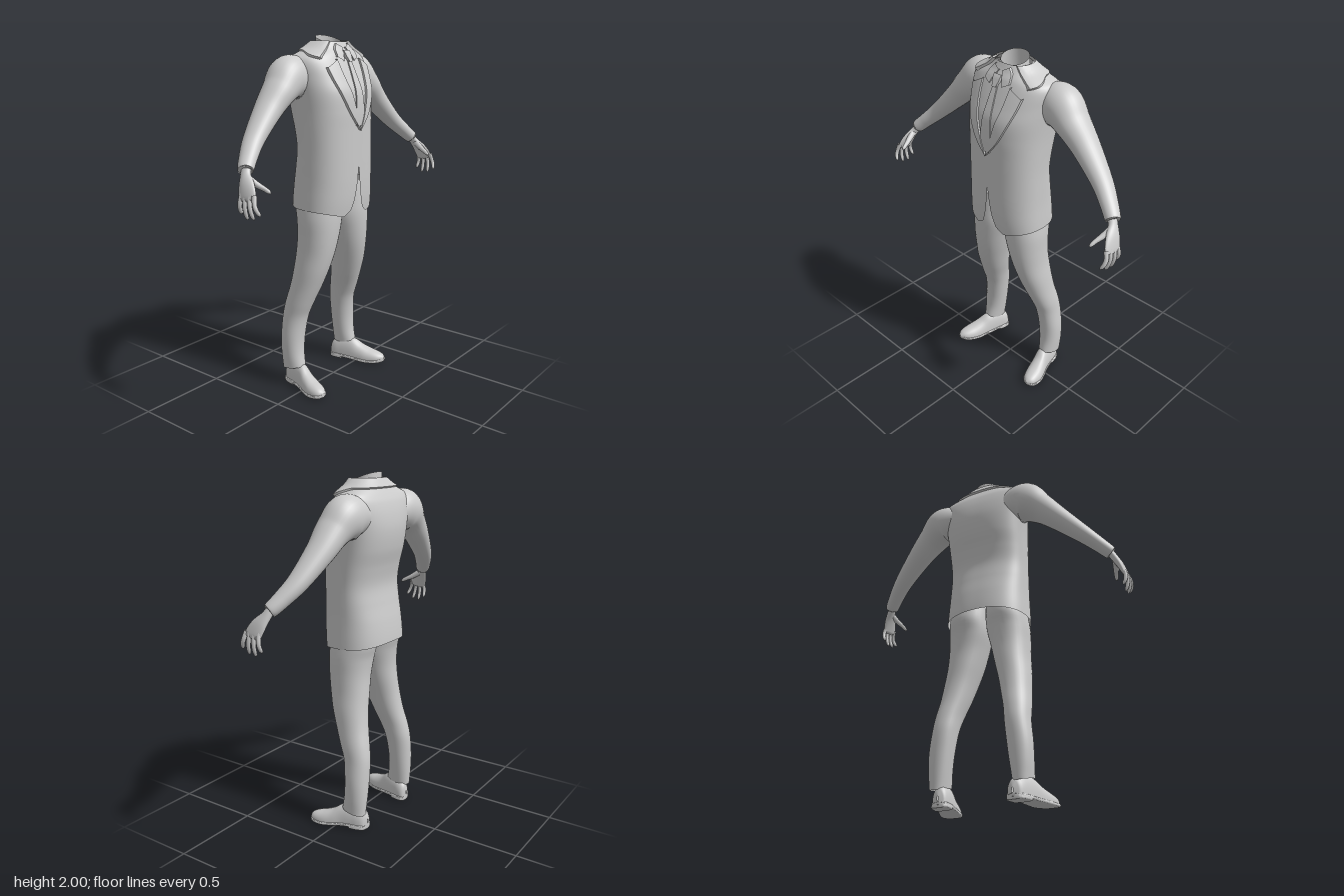
import * as THREE from 'three';
import { mergeVertices, toCreasedNormals } from 'three/addons/utils/BufferGeometryUtils.js';

const material = new THREE.MeshStandardMaterial({ color: 0xcccccc, side: THREE.DoubleSide });
const TAU = Math.PI * 2;
const spow = (v, e) => Math.sign(v) * Math.abs(v) ** e;

// Smooth (Hermite) lookup in a table of rows whose first entry is the key
function sample(rows, k) {
  let i = 0;
  while (i < rows.length - 2 && k > rows[i + 1][0]) i++;
  const a = rows[i], b = rows[i + 1], p = rows[i - 1] || a, n = rows[i + 2] || b;
  const h = b[0] - a[0], t = THREE.MathUtils.clamp((k - a[0]) / h, 0, 1);
  const t2 = t * t, t3 = t2 * t;
  return a.map((va, j) => {
    const ma = (b[j] - p[j]) / (b[0] - p[0]) * h, mb = (n[j] - va) / (n[0] - a[0]) * h;
    return va * (2 * t3 - 3 * t2 + 1) + ma * (t3 - 2 * t2 + t) + b[j] * (3 * t2 - 2 * t3) + mb * (t3 - t2);
  });
}

// Surface from a rule fn(u, v) -> [x, y, z]
function surface(name, nu, nv, fn, crease = 0) {
  const pos = [], idx = [];
  for (let j = 0; j <= nv; j++) for (let i = 0; i <= nu; i++) pos.push(...fn(i / nu, j / nv));
  for (let j = 0; j < nv; j++) for (let i = 0; i < nu; i++) {
    const a = j * (nu + 1) + i, b = a + 1, c = a + nu + 1, d = c + 1;
    idx.push(a, c, b, b, c, d);
  }
  let g = new THREE.BufferGeometry();
  g.setAttribute('position', new THREE.Float32BufferAttribute(pos, 3));
  g.setIndex(idx);
  g = mergeVertices(g, 1e-5);
  g.computeVertexNormals();
  if (crease) g = toCreasedNormals(g, crease);
  const mesh = new THREE.Mesh(g, material);
  mesh.name = name;
  return mesh;
}

// Tube with elliptical rings along points [x, y, z, radius, radius towards z]
function limb(name, points, { sides = 24, steps = 40, round = 0 } = {}) {
  const rows = points.map((p, i) => [i, ...p]), last = points.length - 1;
  return surface(name, sides, steps, (u, v) => {
    const k = v * last, [, x, y, z, ra, rb] = sample(rows, k);
    const p0 = sample(rows, Math.max(0, k - 0.05)), p1 = sample(rows, Math.min(last, k + 0.05));
    const T = new THREE.Vector3(p1[1] - p0[1], p1[2] - p0[2], p1[3] - p0[3]).normalize();
    const B = new THREE.Vector3(0, 0, 1).addScaledVector(T, -T.z).normalize();
    const A = new THREE.Vector3().crossVectors(B, T);
    const q = round ? Math.max(0, (v - 1 + round) / round) : 0, s = Math.sqrt(Math.max(0, 1 - q * q));
    const P = new THREE.Vector3(x, y, z);
    P.addScaledVector(A, Math.cos(u * TAU) * ra * s).addScaledVector(B, -Math.sin(u * TAU) * rb * s);
    return P.toArray();
  });
}

// Jacket sections: y, half width, front z, back z, z of the side seam
const JACKET = [
  [1.0, .245, .16, -.197, -.01], [1.1, .241, .172, -.194, -.01], [1.2, .236, .177, -.182, -.01],
  [1.3, .234, .178, -.163, -.01], [1.4, .233, .178, -.15, -.01], [1.5, .236, .178, -.164, -.02],
  [1.6, .241, .178, -.189, -.035], [1.7, .25, .168, -.2, -.05], [1.78, .26, .138, -.193, -.07],
  [1.85, .265, .107, -.174, -.08], [1.885, .25, .09, -.155, -.08], [1.905, .21, .08, -.142, -.07],
  [1.93, .155, .063, -.124, -.055], [1.965, .103, .045, -.1, -.03],
];
const TOP = 1.965, BOXY = 0.8;
function jacketPoint(angle, y, off = 0) {
  const [, hw, zf, zb, zs] = sample(JACKET, y), s = spow(Math.sin(angle), BOXY);
  return [(hw + off) * spow(Math.cos(angle), BOXY), y + off * .4, zs + (s > 0 ? zf + off - zs : zs - zb + off) * s];
}
function chestZ(x, y, off) {
  const [, hw, zf, , zs] = sample(JACKET, y);
  const c = Math.min(1, Math.abs(x) / (hw + off)) ** (1 / BOXY);
  return zs + (zf + off - zs) * Math.sqrt(1 - c * c) ** BOXY;
}

// Hem height: cut away at the front opening, a little higher at the back
const CUTAWAY = [[0, 1.3], [.012, 1.2], [.027, 1.12], [.05, 1.055], [.1, 1.022], [.25, 1.06]];
function hem(angle) {
  const x = .243 * Math.abs(spow(Math.cos(angle), BOXY));
  if (Math.sin(angle) < 0) return 1.08 - .02 * (x / .243) ** 2;
  let i = 0;
  while (i < CUTAWAY.length - 2 && x > CUTAWAY[i + 1][0]) i++;
  const [x0, y0] = CUTAWAY[i], [x1, y1] = CUTAWAY[i + 1];
  return y0 + (y1 - y0) * (x - x0) / (x1 - x0);
}
function jacketBody() {
  // columns crowd towards the centre front and centre back
  return surface('jacketBody', 96, 90, (u, v) => {
    const quarter = u * 4 - 1, side = Math.round(quarter / 2) * 2, d = quarter - side;
    const angle = (side + Math.sign(d) * (1 - (1 - Math.abs(d)) ** 2)) * Math.PI / 2;
    const h = hem(angle);
    return jacketPoint(angle, h + (TOP - h) * v);
  });
}

// Cloth piece laid on the chest between two edge curves of [x, y]
function chestPiece(name, edgeA, edgeB, off) {
  const curve = e => new THREE.SplineCurve(e.map(p => new THREE.Vector2(...p)));
  const A = curve(edgeA), B = curve(edgeB), n = 14;
  return surface(name, n, 32, (u, v) => {
    const i = Math.round(u * n), border = i === 0 || i === n;
    const s = THREE.MathUtils.clamp((i - 1) / (n - 2), 0, 1);
    const p = A.getPoint(v).lerp(B.getPoint(v), s);
    return [p.x, p.y, chestZ(p.x, p.y, border ? -.003 : off)];
  }, 0.7);
}
const flip = edge => edge.map(([x, y]) => [-x, y]);

// Trouser leg sections: y, centre x, half width, front z, back z
const LEG = [
  [.11, .243, .053, -.03, -.172], [.2, .24, .062, -.045, -.18], [.3, .233, .068, -.046, -.184],
  [.42, .218, .069, -.03, -.183], [.5, .208, .073, 0, -.17], [.6, .188, .081, .04, -.147],
  [.7, .17, .09, .075, -.132], [.8, .15, .099, .1, -.125], [.9, .135, .11, .115, -.122],
  [1, .122, .121, .122, -.132], [1.08, .117, .117, .12, -.15], [1.2, .11, .11, .11, -.13],
];
function trouserLeg() {
  return surface('trouserLeg', 32, 60, (u, v) => {
    const a = u * TAU, [y, cx, hw, zf, zb] = sample(LEG, .11 + v * 1.09);
    const m = (zf + zb) / 2, s = Math.sin(a);
    // the cuff breaks over the shoe: higher at the front
    return [cx + hw * spow(Math.cos(a), .92), y + .015 * s * (1 - v) ** 12, m + (zf - m) * spow(s, .92)];
  });
}

// Shoe sections: z, centre x, half width, bottom y, top y
const UPPER = [
  [-.176, .215, .004, .03, .06], [-.168, .216, .032, .025, .095], [-.14, .22, .046, .025, .12],
  [-.09, .23, .048, .025, .135], [-.03, .245, .049, .022, .132], [.02, .262, .054, .018, .1],
  [.07, .277, .057, .015, .079], [.12, .289, .048, .018, .065], [.15, .295, .031, .022, .052],
  [.166, .297, .003, .028, .036],
];
function shoe() {
  const g = new THREE.Group();
  g.name = 'shoe';
  g.add(surface('shoeUpper', 28, 48, (u, v) => {
    const a = u * TAU, [z, cx, hw, yb, yt] = sample(UPPER, -.176 + .342 * v);
    return [cx + Math.max(hw, 0) * spow(Math.cos(a), .9), yb + (yt - yb) * Math.max(0, Math.sin(a)) ** .85, z];
  }));
  const slab = (name, z0, z1, low, high) => surface(name, 28, 32, (u, v) => {
    const a = u * TAU, end = v === 0 || v === 1 ? 0 : 1;
    const [z, cx, hw, yb] = sample(UPPER, z0 + (z1 - z0) * v);
    const y0 = low(yb), y1 = high(yb);
    return [cx + (Math.max(hw, 0) + .005) * end * spow(Math.cos(a), .35), (y0 + y1) / 2 + (y1 - y0) / 2 * spow(Math.sin(a), .35), z];
  }, 0.8);
  g.add(slab('sole', -.176, .166, y => y - .015, y => y + .006));
  g.add(slab('heel', -.174, -.085, () => 0, y => y));
  return g;
}

function hand() {
  const g = new THREE.Group();
  g.name = 'hand';
  g.add(limb('palm', [[.725, 1.39, .038, .022, .026], [.752, 1.345, .054, .021, .029], [.777, 1.3, .082, .02, .046],
    [.795, 1.255, .105, .016, .054], [.803, 1.225, .112, .011, .05]], { round: .15 }));
  g.add(limb('thumb', [[.755, 1.335, .068, .017, .02], [.742, 1.305, .115, .016, .017], [.728, 1.285, .155, .012, .013],
    [.719, 1.265, .19, .01, .01]], { sides: 12, steps: 20, round: .2 }));
  // index to little finger: knuckle z, tip z, tip y
  [[.152, .185, 1.165], [.124, .142, 1.14], [.097, .1, 1.135], [.07, .06, 1.16]].forEach(([z0, z1, y1]) => {
    g.add(limb('finger', [[.795, 1.262, z0, .013, .014], [.807, 1.222, (z0 * 2 + z1) / 3, .012, .012],
      [.805, (1.222 + y1) / 2, (z0 + z1 * 2) / 3, .011, .011], [.79, y1, z1, .009, .009]], { sides: 12, steps: 20, round: .2 }));
  });
  return g;
}

function sleeve() {
  return limb('sleeve', [[.17, 1.775, -.08, .09, .09], [.28, 1.778, -.08, .121, .108], [.375, 1.715, -.066, .088, .097],
    [.47, 1.625, -.058, .069, .08], [.605, 1.495, -.028, .051, .06], [.69, 1.415, .012, .042, .049],
    [.74, 1.367, .043, .037, .041], [.734, 1.373, .04, .024, .028]], { sides: 32, steps: 70 });
}

export function createModel() {
  const model = new THREE.Group();
  model.name = 'suitedFigure';
  model.add(jacketBody());

  // Shirt front, tie and lapels
  const inner = [[.003, 1.505], [.03, 1.58], [.062, 1.69], [.088, 1.79], [.098, 1.875]];
  const outer = [[0, 1.495], [.075, 1.585], [.13, 1.69], [.16, 1.775], [.174, 1.835]];
  model.add(chestPiece('shirtFront', flip(inner), inner, .004));
  const tie = [[.03, 1.52], [.033, 1.62], [.024, 1.75], [.014, 1.87]];
  model.add(chestPiece('tie', flip(tie), tie, .011));
  const knot = [[.012, 1.86], [.022, 1.89], [.026, 1.92]];
  model.add(chestPiece('tieKnot', flip(knot), knot, .02));

  // Jacket collar wrapped round the back of the neck
  model.add(surface('jacketCollar', 64, 12, (u, v) => {
    const a = THREE.MathUtils.degToRad(-232 + 284 * u), f = Math.max(0, Math.sin(a));
    const low = 1.915 - .055 * f, border = v === 0 || u === 0 || u === 1;
    return jacketPoint(a, low + (TOP - low) * v, border ? -.002 : .012);
  }, 0.8));

  // Shirt collar band, higher at the back, with the neck closed inside
  model.add(surface('shirtCollar', 48, 8, (u, v) => {
    const a = u * TAU, r = .082 + .008 * (1 - v), s = Math.sin(a);
    return [r * Math.cos(a), 1.89 + .087 * v - .023 * s * v, -.015 - .02 * v + (r - .018 * v) * s];
  }));
  model.add(surface('neckFloor', 32, 4, (u, v) =>
    [.089 * v * Math.cos(u * TAU), 1.875 + .017 * v, -.015 + .089 * v * Math.sin(u * TAU)]));

  // Paired parts, mirrored
  for (const side of [1, -1]) {
    const half = new THREE.Group();
    half.name = side > 0 ? 'leftSide' : 'rightSide';
    half.add(sleeve(), hand(), trouserLeg(), shoe());
    half.add(chestPiece('lapel', inner, outer, .015));
    half.add(chestPiece('shirtCollarWing', [[.012, 1.935], [.03, 1.9], [.045, 1.865]], [[.05, 1.955], [.075, 1.925], [.085, 1.885]], .012));
    half.scale.x = side;
    model.add(half);
  }
  return model;
}
